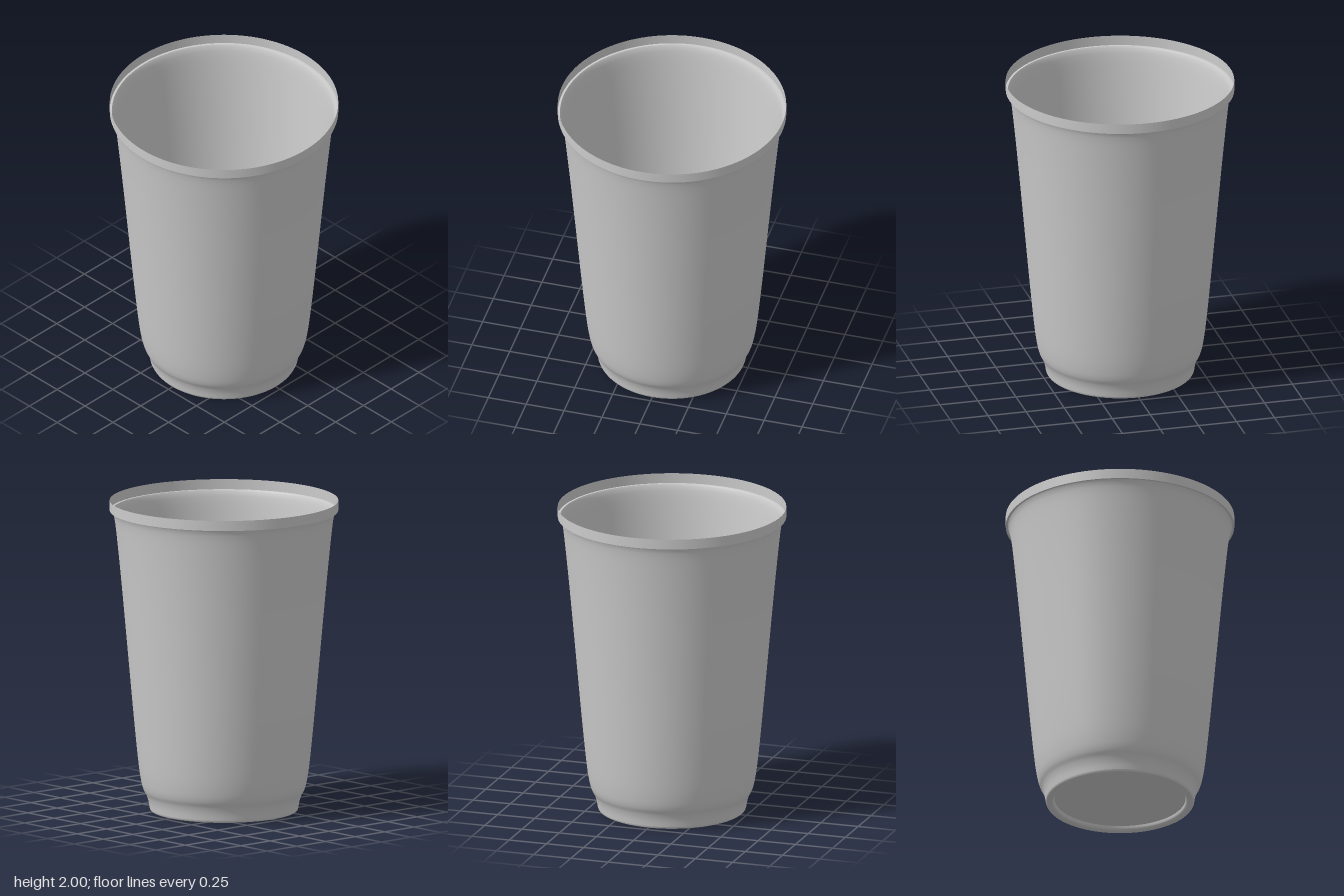
import * as THREE from 'three';

const material = new THREE.MeshStandardMaterial({ color: 0xcccccc, side: THREE.DoubleSide });

// Thin surface of revolution; profile is a list of [radius, height] pairs
function turned(name, profile, smoothSteps = 0) {
  let points = profile.map(([r, y]) => new THREE.Vector2(r, y));
  if (smoothSteps) points = new THREE.SplineCurve(points).getPoints(smoothSteps);
  const mesh = new THREE.Mesh(new THREE.LatheGeometry(points, 128), material);
  mesh.name = name;
  return mesh;
}

export function createModel() {
  const cup = new THREE.Group();
  cup.name = 'cup';

  // Raised floor disc
  cup.add(turned('floor', [[0, 0.03], [0.417, 0.03]]));

  // Step down from the floor and the rounded ring the cup stands on
  cup.add(turned('footRing', [
    [0.417, 0.03], [0.422, 0.012], [0.432, 0.003], [0.445, 0],
    [0.458, 0], [0.467, 0.004], [0.472, 0.015],
  ], 24));

  // Tapered wall with a shoulder above the foot and a flare below the lip
  cup.add(turned('wall', [
    [0.472, 0.015], [0.48, 0.06], [0.493, 0.1], [0.513, 0.14], [0.528, 0.2],
    [0.545, 0.32], [0.573, 0.6], [0.609, 1.0], [0.645, 1.4],
    [0.669, 1.65], [0.687, 1.82], [0.697, 1.89], [0.705, 1.92], [0.712, 1.935],
  ], 72));

  // Ledge under the lip and the upright lip band
  cup.add(turned('lipLedge', [[0.712, 1.935], [0.726, 1.935]]));
  cup.add(turned('lipBand', [[0.726, 1.935], [0.726, 2]]));

  return cup;
}
